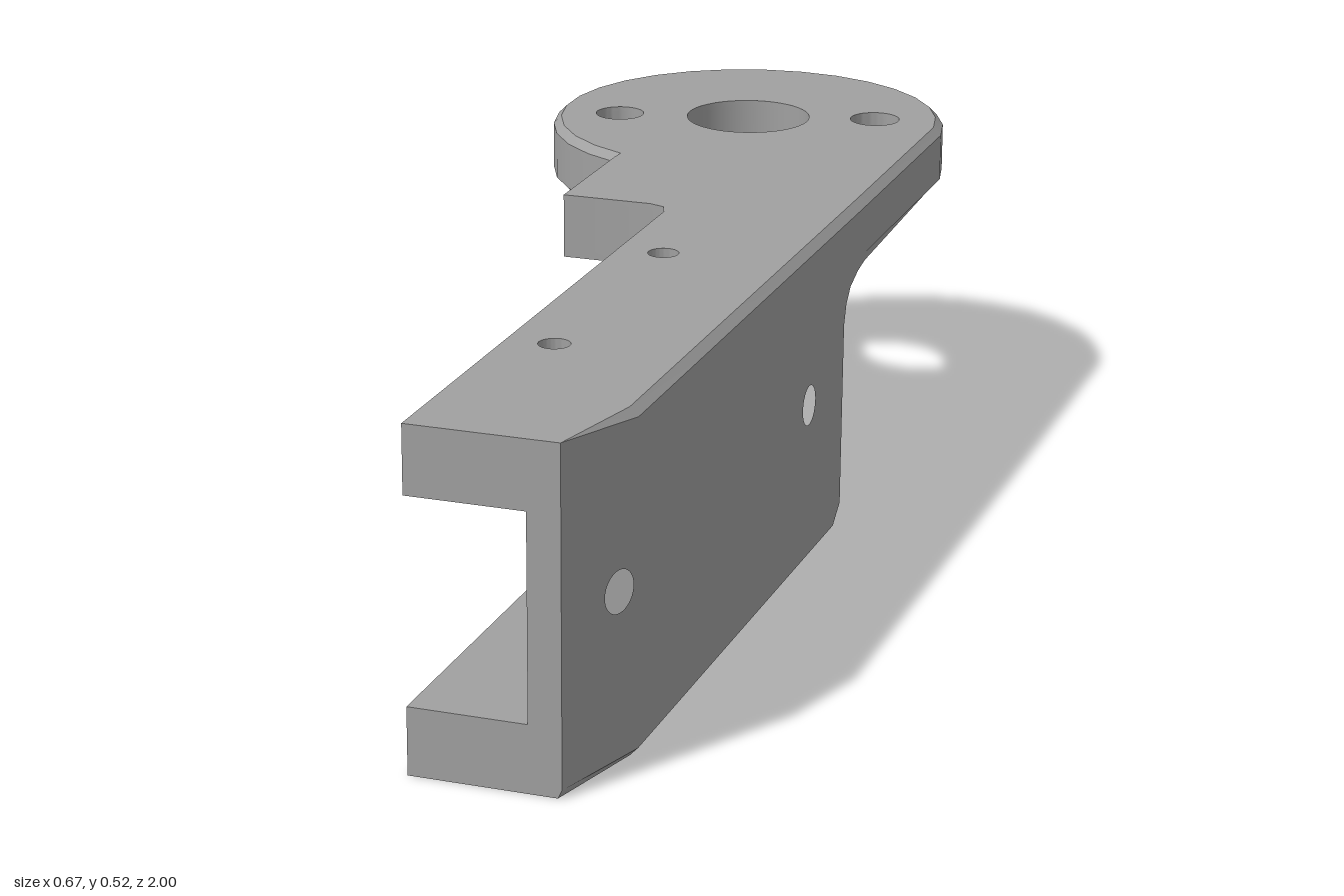
import * as THREE from 'three';
import { toCreasedNormals } from 'three/addons/utils/BufferGeometryUtils.js';

const PLATE_Y = 0.416, PLATE_H = 0.104, EDGE = 0.013;
const OUTER = 0.335, INNER = 0.235, TAPER_Z = 0.83;
const DISC_Z = -0.665, DISC_R = 0.335;

function extrude(points, holes, depth, steps) {
  const shape = new THREE.Shape(points.map(([x, y]) => new THREE.Vector2(x, y)));
  for (const [x, y, r] of holes) {
    shape.holes.push(new THREE.Path().absarc(x, y, r, 0, Math.PI * 2, true));
  }
  return new THREE.ExtrudeGeometry(shape, { depth, steps, bevelEnabled: false, curveSegments: 24 });
}

// Move every vertex by a rule, then smooth only the shallow angles
function finish(geometry, rule) {
  const pos = geometry.attributes.position;
  const v = new THREE.Vector3();
  for (let i = 0; i < pos.count; i++) {
    v.fromBufferAttribute(pos, i);
    rule(v);
    pos.setXYZ(i, v.x, v.y, v.z);
  }
  return toCreasedNormals(geometry, 0.5);
}

// Extrude a [z, y] profile along x
function sidePiece(profile, holes, x0, x1, steps, rule) {
  const g = extrude(profile.map(([z, y]) => [-z, y]), holes.map(([z, y, r]) => [-z, y, r]), x1 - x0, steps);
  g.rotateY(Math.PI / 2).translate(x0, 0, 0);
  return finish(g, rule);
}

// Chamfer the outer lower edges and taper the front end of the wall
function shapeWall(v) {
  if (v.x > OUTER - 0.001) {
    if (v.y < 0.001) v.y += EDGE;
    if (v.z < -0.1 && v.y < 0.4) v.z += 0.01;
  }
  if (v.z > TAPER_Z) v.x -= (v.z - TAPER_Z) * 0.05 / (1 - TAPER_Z) * (v.x - INNER) / (OUTER - INNER);
}

// Chamfer the plate's disc rim and the top of its outer straight edge
function shapePlate(v) {
  const top = v.y > PLATE_Y + PLATE_H - 0.001;
  const bottom = v.y < PLATE_Y + 0.001;
  if (!top && !bottom) return;
  const dz = v.z - DISC_Z;
  const r = Math.hypot(v.x, dz);
  if (Math.abs(r - DISC_R) < 0.003) {
    const k = (r - EDGE) / r;
    v.x *= k;
    v.z = DISC_Z + dz * k;
  } else if (top && v.x > OUTER - 0.001) {
    v.x -= EDGE;
  }
}

export function createModel() {
  const group = new THREE.Group();
  group.name = 'mountingBracket';
  const grey = new THREE.MeshStandardMaterial({ color: 0xa0a0a0 });
  grey.name = 'plain grey';
  const add = (name, geometry) => {
    const mesh = new THREE.Mesh(geometry, grey);
    mesh.name = name;
    group.add(mesh);
  };

  // Top plate with round head, outline as [x, -z]
  const outline = [[0.055, -1], [0.285, -1], [OUTER, -TAPER_Z], [OUTER, 0.24]];
  const start = 0.12, end = 4.31, n = 20;
  for (let i = 0; i <= n; i++) {
    const a = start + (end - start) * i / n;
    outline.push([DISC_R * Math.cos(a), -DISC_Z + DISC_R * Math.sin(a)]);
  }
  outline.push([-0.128, 0.345], [-0.128, 0.105], [0.02, 0.105], [0.045, 0.096], [0.055, 0.07]);
  const plateHoles = [
    [0, 0.665, 0.105], [-0.215, 0.61, 0.041], [0.21, 0.722, 0.042],
    [0.128, -0.14, 0.024], [0.128, -0.61, 0.024],
  ];
  const plate = extrude(outline, plateHoles, PLATE_H, 8);
  plate.rotateX(-Math.PI / 2).translate(0, PLATE_Y, 0);
  add('topPlate', finish(plate, shapePlate));

  // Side wall: straight rear length with a fillet under the plate, and tapered front end
  const rear = [
    [TAPER_Z, 0], [TAPER_Z, PLATE_Y], [-0.25, PLATE_Y], [-0.215, 0.41], [-0.185, 0.395],
    [-0.163, 0.372], [-0.152, 0.34], [-0.146, 0.04], [-0.11, 0],
  ];
  add('sideWall', sidePiece(rear, [[0.04, 0.264, 0.032]], INNER, OUTER, 8, shapeWall));
  const front = [[1, 0], [1, PLATE_Y], [TAPER_Z, PLATE_Y], [TAPER_Z, 0]];
  add('sideWallFront', sidePiece(front, [[0.873, 0.264, 0.032]], INNER, OUTER, 8, shapeWall));

  // Lower flange with a chamfered rear edge
  const flange = [[1, 0], [1, 0.104], [-0.146, 0.104], [-0.146, 0.04], [-0.11, 0]];
  add('lowerFlange', sidePiece(flange, [], 0.055, INNER, 1, () => {}));

  return group;
}
